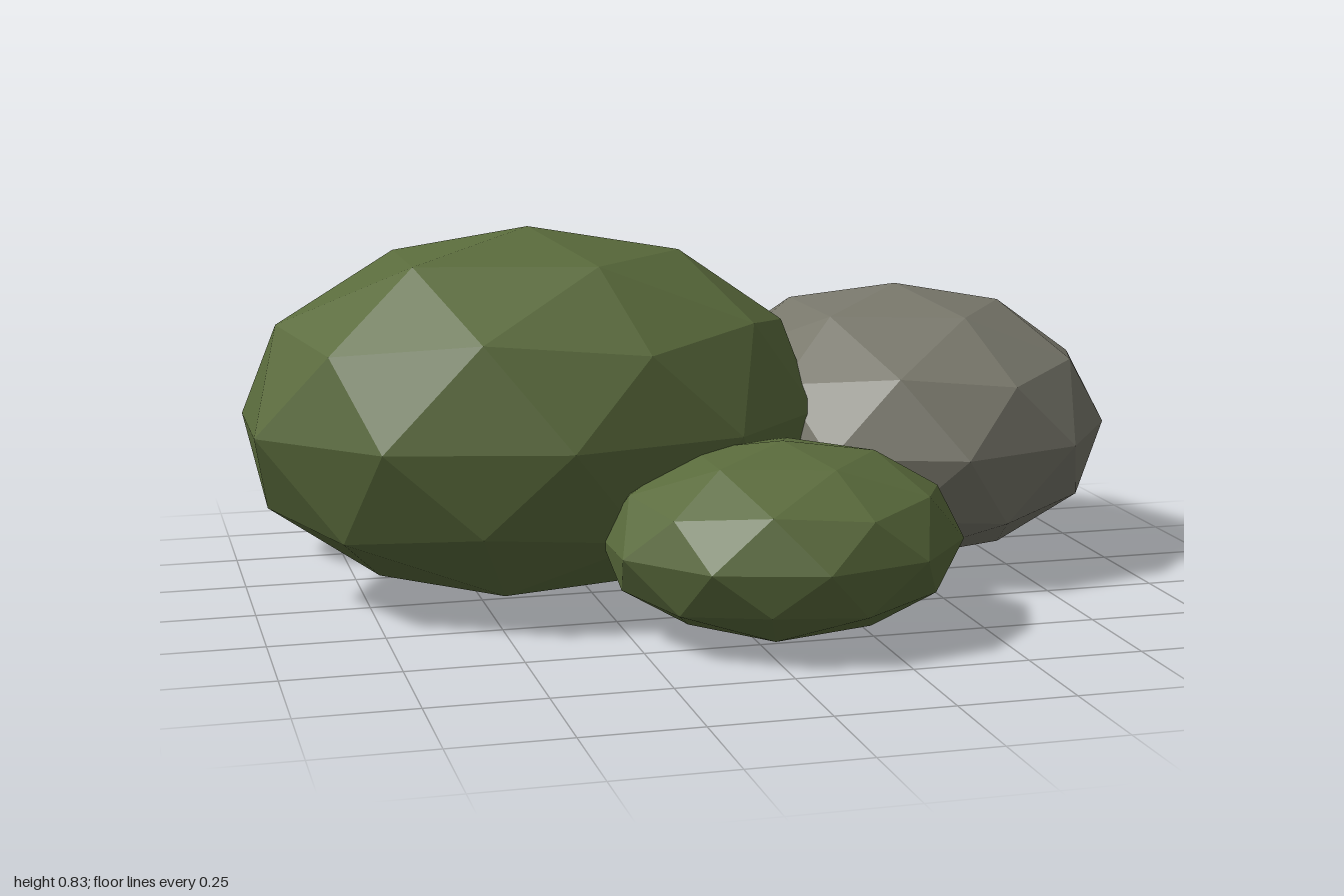
import * as THREE from 'three';

// Faceted boulder: 80-sided icosphere standing on a vertex, ring corner toward +x
function boulderGeometry(rx, ry, rz) {
  const g = new THREE.IcosahedronGeometry(1, 1);
  g.rotateX(-Math.atan((1 + Math.sqrt(5)) / 2));
  g.rotateY(Math.PI / 2);
  g.scale(rx, ry, rz);
  g.computeVertexNormals();
  return g;
}

export function createModel() {
  const group = new THREE.Group();
  group.name = 'rockCluster';

  const moss = new THREE.MeshStandardMaterial({ color: 0x5a6b3c, flatShading: true });
  moss.name = 'mossGreen';
  const stone = new THREE.MeshStandardMaterial({ color: 0x78776b, flatShading: true });
  stone.name = 'stoneGrey';

  // name, material, radii (x, y, z), centre x, centre z; each rests on the ground
  const rocks = [
    ['largeMossyRock', moss, 0.652, 0.415, 0.49, -0.38, -0.038],
    ['largeGreyRock', stone, 0.494, 0.325, 0.518, 0.53, -0.196],
    ['smallMossyRock', moss, 0.389, 0.208, 0.346, 0.07, 0.418],
    ['smallGreyRock', stone, 0.26, 0.157, 0.232, -0.643, -0.535],
  ];
  for (const [name, material, rx, ry, rz, x, z] of rocks) {
    const rock = new THREE.Mesh(boulderGeometry(rx, ry, rz), material);
    rock.name = name;
    rock.position.set(x, ry, z);
    group.add(rock);
  }
  return group;
}
